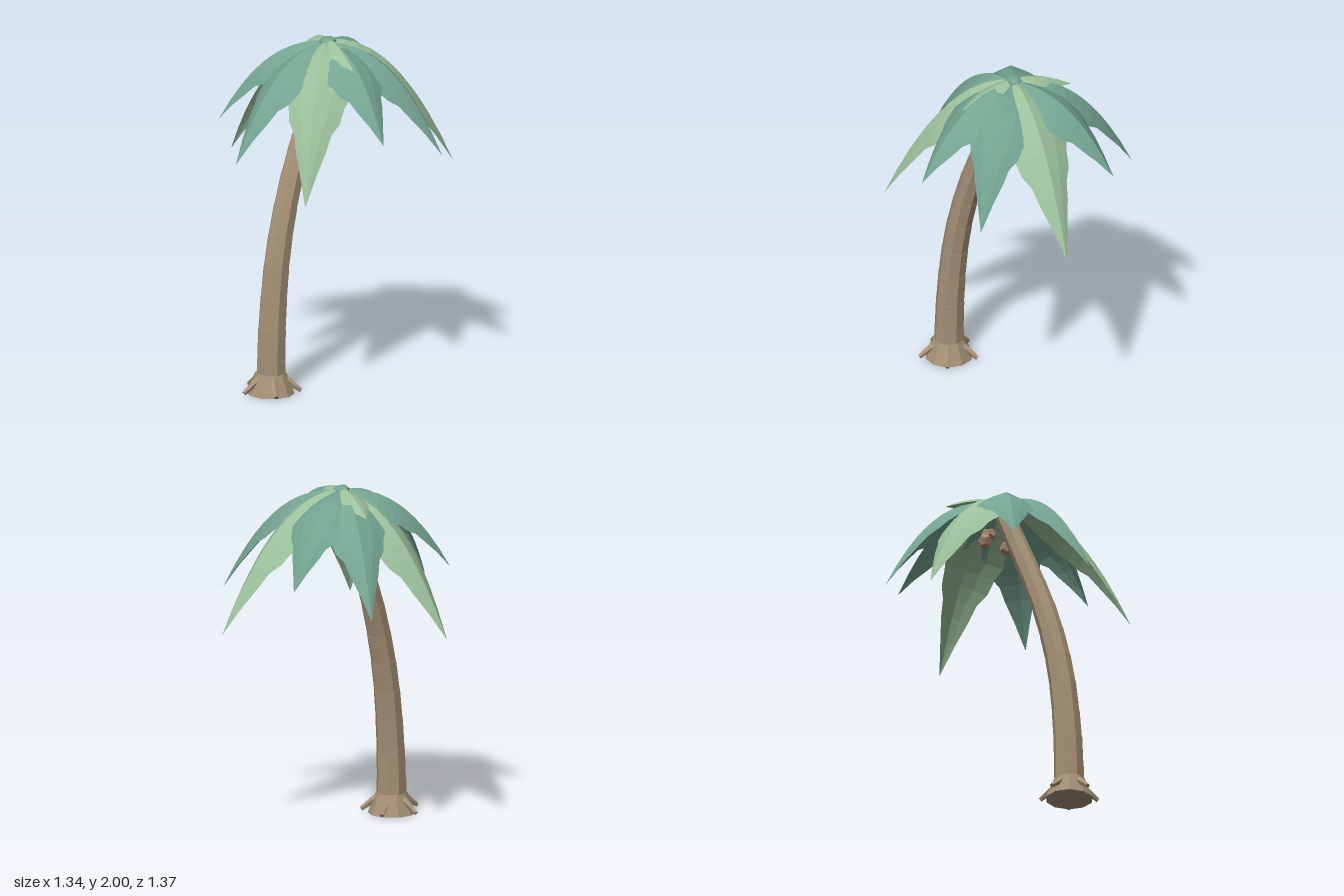
import * as THREE from 'three';

const mat = (name, color, side = THREE.FrontSide) =>
  new THREE.MeshStandardMaterial({ name, color, side, flatShading: true });

// Surface through rows of points; every row has the same length
function loft(rows, closed = false) {
  const n = rows[0].length, pos = [], idx = [];
  rows.forEach(row => row.forEach(p => pos.push(p.x, p.y, p.z)));
  for (let i = 0; i < rows.length - 1; i++) {
    for (let j = 0; j < (closed ? n : n - 1); j++) {
      const a = i * n + j, b = i * n + (j + 1) % n;
      idx.push(a, b, a + n, b, b + n, a + n);
    }
  }
  const g = new THREE.BufferGeometry();
  g.setAttribute('position', new THREE.Float32BufferAttribute(pos, 3));
  g.setIndex(idx);
  const flat = g.toNonIndexed();
  flat.computeVertexNormals();
  return flat;
}

// Frond outline: [fraction of length, half width]
const OUTLINE = [[0, 0.025], [0.12, 0.065], [0.23, 0.12], [0.34, 0.168], [0.44, 0.172],
  [0.52, 0.184], [0.59, 0.16], [0.67, 0.146], [0.73, 0.107], [0.8, 0.088], [0.9, 0.045], [1, 0.001]];

// Arched frond from the crown to its tip, folded down on both sides of the midrib
function frondGeometry(from, tip, width, power) {
  const out = new THREE.Vector3(tip.x - from.x, 0, tip.z - from.z);
  const length = out.length(), drop = from.y - tip.y;
  out.normalize();
  const side = new THREE.Vector3(-out.z, 0, out.x);
  const rows = OUTLINE.map(([t, w]) => {
    const ridge = from.clone().addScaledVector(out, t * length);
    ridge.y -= drop * t ** power;
    const slope = drop * power * t ** (power - 1) / length;
    const down = out.clone().multiplyScalar(-slope).add(new THREE.Vector3(0, -1, 0)).normalize();
    return [-1, -0.5, 0, 0.5, 1].map(s => ridge.clone()
      .addScaledVector(side, s * w * width)
      .addScaledVector(down, Math.abs(s) ** 1.3 * w * width * 0.48));
  });
  return loft(rows);
}

export function createModel() {
  const model = new THREE.Group();
  model.name = 'palmTree';
  const bark = mat('bark', 0xa69176);
  const nut = mat('coconutBrown', 0xa98570);
  const darkLeaf = mat('darkLeaf', 0x74a491, THREE.DoubleSide);
  const lightLeaf = mat('lightLeaf', 0x9bc09b, THREE.DoubleSide);
  const add = (name, geometry, material, parent = model) => {
    const m = new THREE.Mesh(geometry, material);
    m.name = name;
    parent.add(m);
    return m;
  };
  const V = (x, y, z) => new THREE.Vector3(x, y, z);
  const Z = 0.047;

  // Leaning trunk with a small ledge at each growth ring
  const path = new THREE.CatmullRomCurve3([V(-0.468, 0.02, Z), V(-0.463, 0.33, Z), V(-0.413, 0.8, Z),
    V(-0.31, 1.2, Z), V(-0.15, 1.6, Z), V(-0.02, 1.9, Z)]);
  const rings = [], SEG = 11;
  const ring = (t, r) => {
    const c = path.getPointAt(t), d = path.getTangentAt(t);
    const u = V(d.y, -d.x, 0).normalize();
    return Array.from({ length: 8 }, (_, k) => {
      const a = (k + 0.5) * Math.PI / 4;
      return c.clone().addScaledVector(u, Math.cos(a) * r).add(V(0, 0, -Math.sin(a) * r));
    });
  };
  const radius = t => 0.088 - 0.035 * t;
  for (let i = 0; i < SEG; i++) {
    rings.push(ring(i / SEG, radius(i / SEG)));
    rings.push(ring((i + 1) / SEG, radius((i + 1) / SEG) + 0.002));
  }
  add('trunk', loft(rings, true), bark);

  // Flared foot and five spreading roots
  const foot = new THREE.Group();
  foot.name = 'foot';
  foot.position.set(-0.47, 0, Z);
  model.add(foot);
  add('flare', new THREE.CylinderGeometry(0.09, 0.136, 0.12, 10).translate(0, 0.06, 0), bark, foot);
  for (let i = 0; i < 5; i++) {
    const a = -Math.PI / 2 + i * Math.PI * 0.4;
    const from = V(Math.cos(a) * 0.085, 0.085, Math.sin(a) * 0.085);
    const to = V(Math.cos(a) * 0.173, 0.02, Math.sin(a) * 0.173);
    const dir = to.clone().sub(from);
    const root = add('root', new THREE.CylinderGeometry(0.013, 0.024, dir.length(), 5), bark, foot);
    root.position.copy(from).add(to).multiplyScalar(0.5);
    root.quaternion.setFromUnitVectors(V(0, 1, 0), dir.normalize());
  }

  // Nine long fronds [start height, tip], then two short upper fronds
  const crown = new THREE.Group();
  crown.name = 'crown';
  model.add(crown);
  const fronds = [
    [1.965, -0.022, 1.205, -0.685], [1.985, 0.665, 1.205, 0.392], [1.985, -0.613, 1.205, 0.45],
    [1.972, 0.425, 1.37, -0.49], [1.972, 0.272, 1.37, 0.68], [1.972, -0.67, 1.37, -0.037],
    [1.98, 0.62, 1.515, -0.085], [1.98, -0.18, 1.515, 0.65], [1.98, -0.413, 1.515, -0.41]];
  fronds.forEach(([y, ...tip], i) => add('frond',
    frondGeometry(V(0, y, Z), V(...tip), i < 3 ? 1 : 0.96, i < 3 ? 2.15 : 2.45),
    i < 3 ? lightLeaf : darkLeaf, crown));
  [[0.17, 1.88, -0.26], [-0.12, 1.88, 0.36]].forEach(tip => add('shortFrond',
    frondGeometry(V(0, 1.99, Z), V(...tip), 0.48, 2), lightLeaf, crown));

  // Bud at the middle of the crown
  const bud = add('bud', new THREE.IcosahedronGeometry(0.055, 0), darkLeaf, crown);
  bud.scale.y = 0.55;
  bud.position.set(0, 1.974, Z);

  // Coconuts beneath the fronds
  [[0, 1.715, 0.11], [0.04, 1.76, -0.02], [0.03, 1.7, -0.07]].forEach((p, i) => {
    const c = add('coconut', new THREE.DodecahedronGeometry(0.045, 0), nut, crown);
    c.position.set(...p);
    c.rotation.set(i, i * 0.7, 0.3);
  });
  return model;
}
